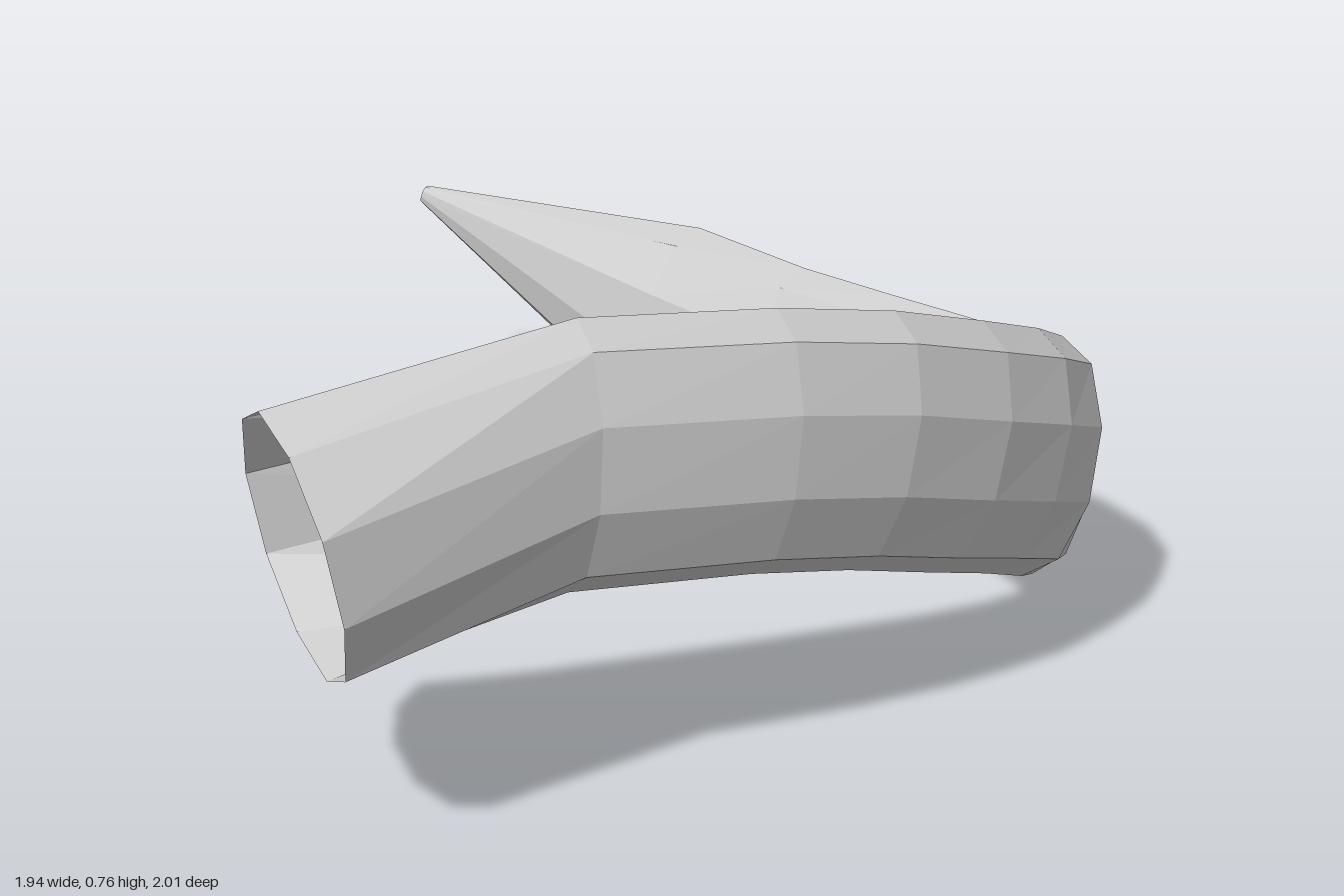
import * as THREE from 'three';

const SIDES = 10;
const v = (x, y, z) => new THREE.Vector3(x, y, z);

// One oval ring square to the path; lean rolls its top towards the outside of the bend
function ring(center, tangent, halfWidth, halfHeight, lean) {
  const t = tangent.clone().normalize();
  const side = t.clone().cross(v(0, 1, 0)).normalize();
  const up = side.clone().cross(t);
  const s = side.clone().multiplyScalar(Math.cos(lean)).addScaledVector(up, -Math.sin(lean));
  const u = up.clone().multiplyScalar(Math.cos(lean)).addScaledVector(side, Math.sin(lean));
  return Array.from({ length: SIDES }, (_, k) => {
    const a = Math.PI / 2 + (k / SIDES) * Math.PI * 2;
    return center.clone()
      .addScaledVector(s, Math.cos(a) * halfWidth)
      .addScaledVector(u, Math.sin(a) * halfHeight);
  });
}

// Skin the rings; the first end stays open, the last is capped
function loft(rings) {
  const positions = rings.flat().flatMap((p) => [p.x, p.y, p.z]);
  const index = [];
  for (let i = 0; i < rings.length - 1; i++) {
    for (let k = 0; k < SIDES; k++) {
      const n = (k + 1) % SIDES;
      const a = i * SIDES + k, b = i * SIDES + n;
      index.push(a, a + SIDES, b + SIDES, a, b + SIDES, b);
    }
  }
  const last = (rings.length - 1) * SIDES;
  for (let k = 1; k < SIDES - 1; k++) index.push(last, last + k + 1, last + k);
  const geometry = new THREE.BufferGeometry();
  geometry.setAttribute('position', new THREE.Float32BufferAttribute(positions, 3));
  geometry.setIndex(index);
  geometry.computeVertexNormals();
  return geometry;
}

export function createModel() {
  const group = new THREE.Group();
  group.name = 'horn';

  // Centre line of the curved, flattened middle
  const path = [
    v(0.64, 0.552, 0.5), v(0.775, 0.53, 0.2), v(0.838, 0.495, 0), v(0.866, 0.44, -0.2),
    v(0.862, 0.385, -0.38), v(0.825, 0.325, -0.54), v(0.745, 0.27, -0.67), v(0.62, 0.235, -0.76),
    v(0.46, 0.222, -0.82), v(0.25, 0.215, -0.86), v(0, 0.22, -0.88), v(-0.295, 0.25, -0.89),
  ];
  const curve = new THREE.CatmullRomCurve3(path);
  const steps = path.length - 1;

  // Round open root
  const root = v(0.445, 0.465, 0.9);
  const rings = [ring(root, path[0].clone().sub(root), 0.22, 0.217, -0.1)];

  // Bend
  for (let i = 0; i <= steps; i++) {
    const f = i / steps;
    const width = 0.098 + 0.013 * Math.abs(2 * f - 1);
    const lean = THREE.MathUtils.lerp(-0.1, 0.22, f);
    rings.push(ring(curve.getPoint(f), curve.getTangent(f), width, 0.214, lean));
  }

  // Straight taper to the small blunt tip
  const tip = v(-0.968, 0.43, -0.822);
  rings.push(ring(tip, tip.clone().sub(path[steps]), 0.012, 0.02, 0.22));

  const material = new THREE.MeshStandardMaterial({
    color: 0xcccccc, flatShading: true, side: THREE.DoubleSide,
  });
  const horn = new THREE.Mesh(loft(rings), material);
  horn.name = 'hornShell';
  group.add(horn);
  return group;
}
